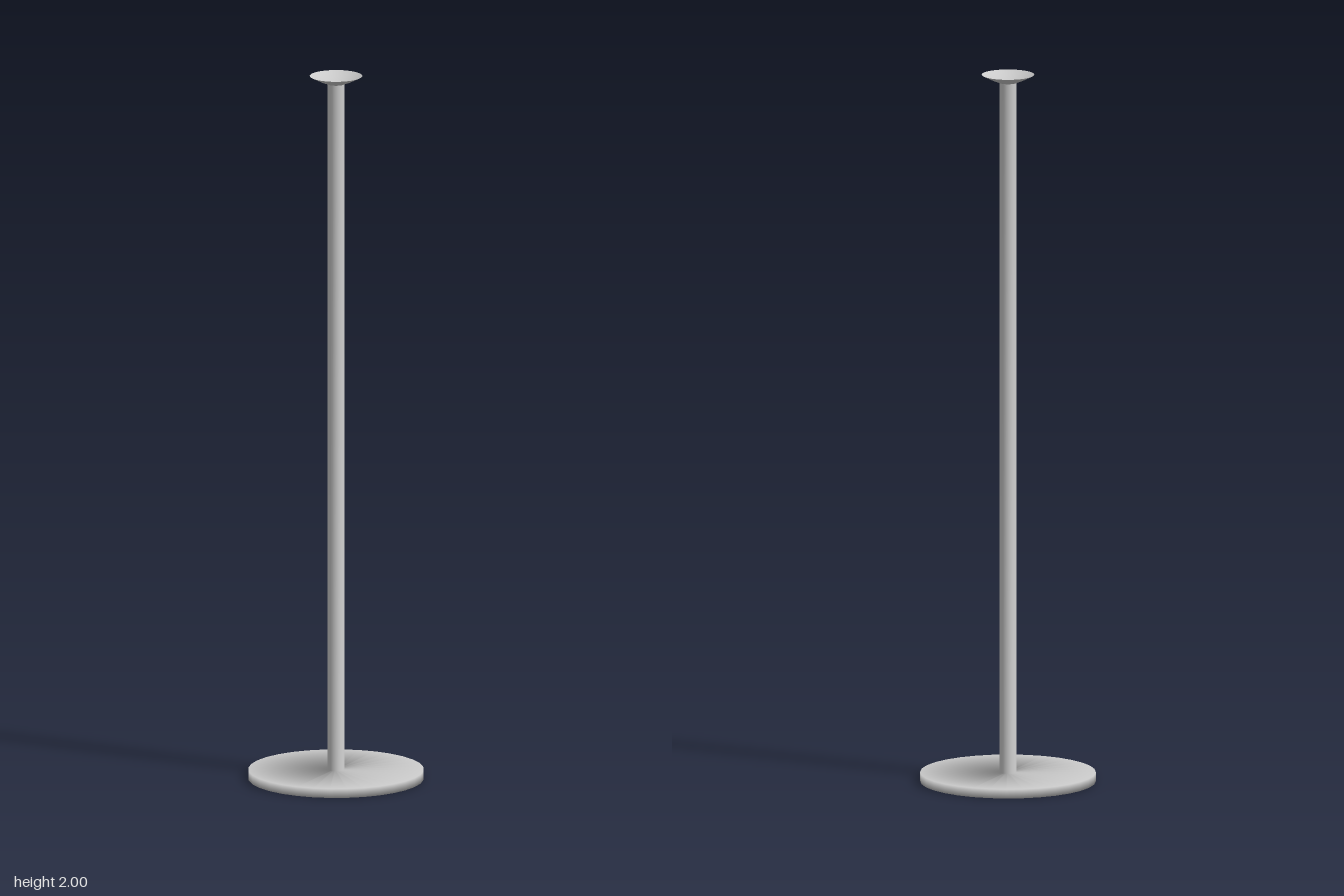
import * as THREE from 'three';

const material = new THREE.MeshStandardMaterial({ color: 0xcccccc });

// Revolve a profile of [radius, height] pairs, listed from the bottom upwards
function turned(name, profile, sides) {
  const points = profile.map(([r, y]) => new THREE.Vector2(r, y));
  const mesh = new THREE.Mesh(new THREE.LatheGeometry(points, sides), material);
  mesh.name = name;
  return mesh;
}

export function createModel() {
  const group = new THREE.Group();
  group.name = 'stand';

  // Round foot plate flowing into the slim pole, softly shaded as one piece
  group.add(turned('baseAndPole', [
    [0, 0], [0.244, 0], [0.244, 0.026], [0.0235, 0.026], [0.0235, 1.98],
  ], 32));

  // Flared outside of the cup
  group.add(turned('cupOutside', [
    [0, 1.976], [0.02, 1.976], [0.045, 1.986], [0.073, 2],
  ], 64));

  // Shallow hollow inside the cup
  const hollow = [];
  for (let i = 0; i <= 10; i++) {
    const r = 0.073 * (1 - i / 10);
    hollow.push([r, 1.982 + 0.018 * (r / 0.073) ** 2]);
  }
  group.add(turned('cupInside', hollow, 64));

  return group;
}
